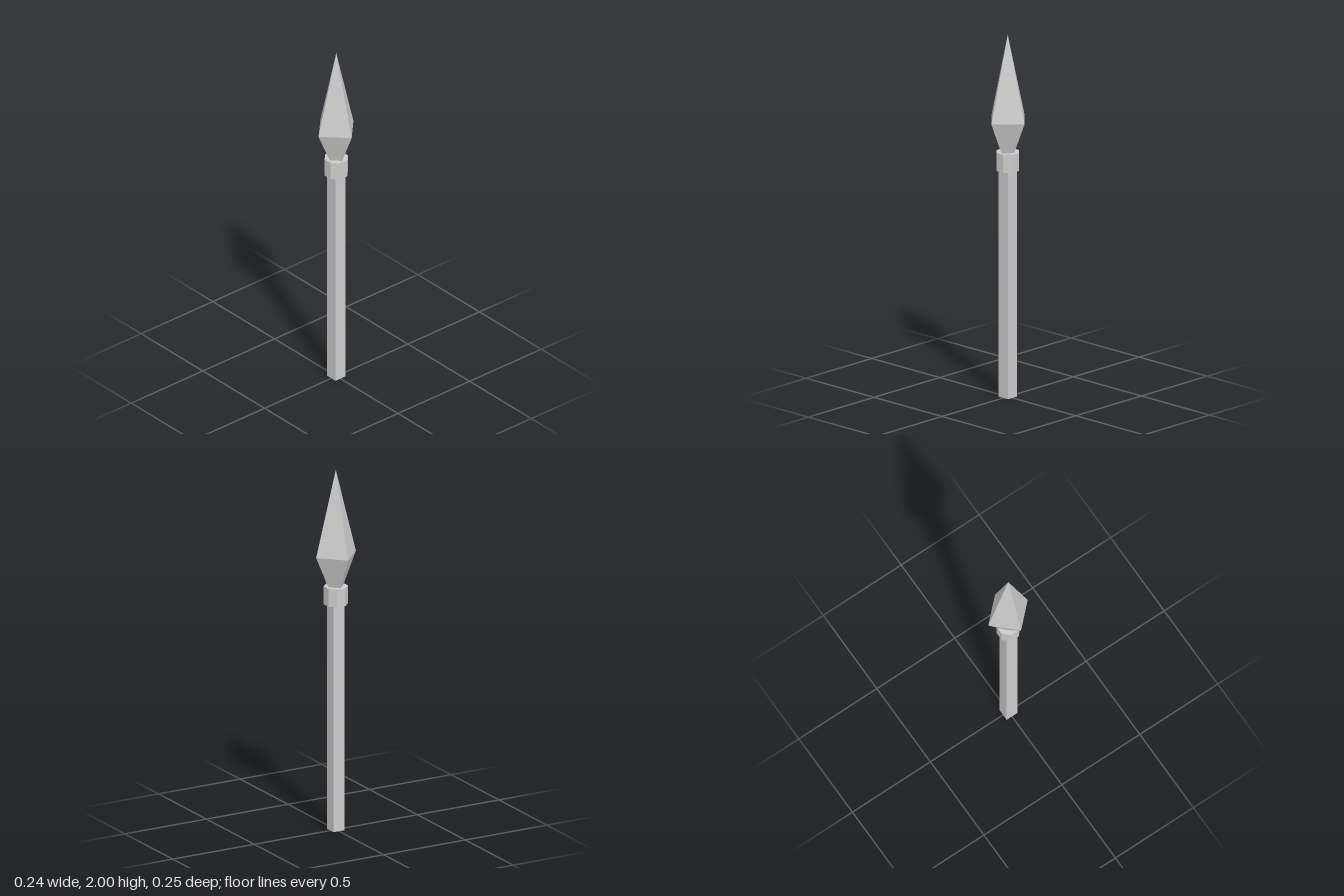
import * as THREE from 'three';

export function createModel() {
  const group = new THREE.Group();
  const material = new THREE.MeshStandardMaterial({ color: 0xcccccc, flatShading: true });
  const add = (name, geometry) => {
    const mesh = new THREE.Mesh(geometry, material);
    mesh.name = name;
    group.add(mesh);
  };

  // Square shaft, ending inside the collar
  const shaftTop = 1.3;
  add('shaft', new THREE.BoxGeometry(0.068, shaftTop, 0.068).translate(0, shaftTop / 2, 0));

  // Eight-sided collar with a flat side facing front
  const collarRadius = 0.06 / Math.cos(Math.PI / 8);
  add('collar', new THREE.CylinderGeometry(collarRadius, collarRadius, 0.1, 8)
    .rotateY(Math.PI / 8)
    .translate(0, 1.305, 0));

  // Four-sided spearhead: narrow neck, wide waist, sharp tip
  const waist = 1.53;
  const profile = [[0, 1.33], [0.036, 1.33], [0.122, waist], [0, 2]]
    .map(([r, y]) => new THREE.Vector2(r, y));
  const head = new THREE.LatheGeometry(profile, 4).scale(1, 1, 1.037);

  // The waist sits very slightly towards the back
  const p = head.attributes.position;
  for (let i = 0; i < p.count; i++) {
    if (Math.abs(p.getY(i) - waist) < 1e-4) p.setZ(i, p.getZ(i) - 0.002);
  }
  head.computeVertexNormals();
  add('spearhead', head);

  return group;
}
